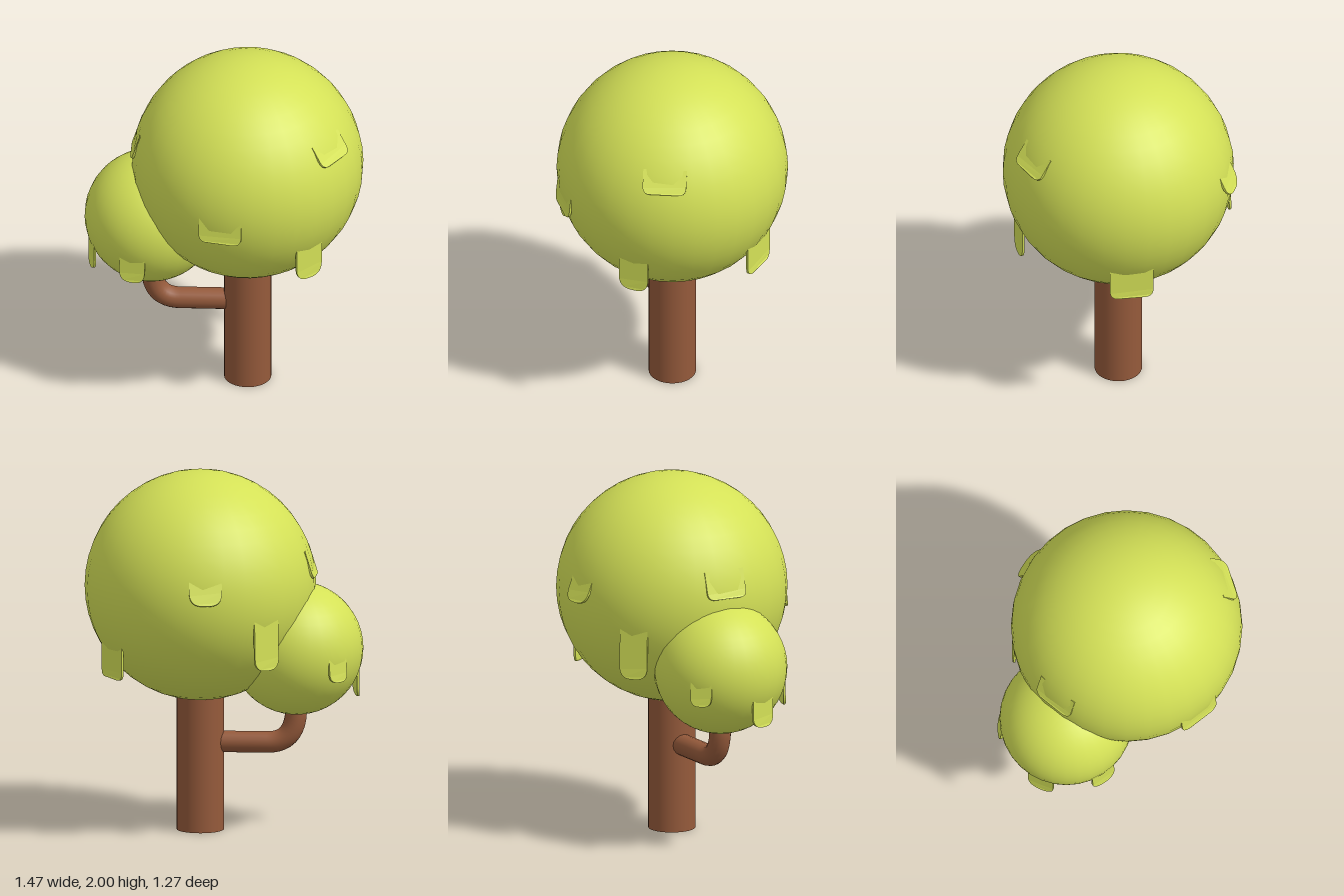
import * as THREE from 'three';

const leafMat = new THREE.MeshStandardMaterial({ color: 0xd4e157 });
const barkMat = new THREE.MeshStandardMaterial({ color: 0x955a3b });

function add(parent, name, geometry, material) {
  const mesh = new THREE.Mesh(geometry, material);
  mesh.name = name;
  parent.add(mesh);
  return mesh;
}

// Thin leaf flap with a rounded lower end; y = 0 is its bottom, z faces outward.
function flapGeometry(width, height, corner, radius) {
  const w = width / 2, t = 0.012;
  const s = new THREE.Shape();
  s.moveTo(-w, height);
  s.lineTo(-w, corner);
  s.quadraticCurveTo(-w, 0, -w + corner, 0);
  s.lineTo(w - corner, 0);
  s.quadraticCurveTo(w, 0, w, corner);
  s.lineTo(w, height);
  s.closePath();
  const g = new THREE.ExtrudeGeometry(s, { depth: t, bevelEnabled: false, curveSegments: 8 });
  // bend the flap gently around the ball
  const p = g.attributes.position;
  for (let i = 0; i < p.count; i++) {
    p.setZ(i, p.getZ(i) - t - p.getX(i) ** 2 / (2 * radius));
  }
  g.computeVertexNormals();
  return g;
}

// A ball of leaves with flaps: [dirX, dirZ, bottom radius, bottom y, width, height, tilt]
function foliage(name, center, radius, flaps) {
  const group = new THREE.Group();
  group.name = name;
  group.position.set(...center);
  add(group, name + 'Ball', new THREE.SphereGeometry(radius, 32, 24), leafMat);
  for (const [dx, dz, r, y, width, height, tilt] of flaps) {
    const a = Math.atan2(dx, dz);
    const corner = width > 0.2 ? 0.045 : width * 0.42;
    const flap = add(group, 'leafFlap', flapGeometry(width, height, corner, r), leafMat);
    flap.rotation.set(-tilt, a, 0, 'YXZ');
    flap.position.set(r * Math.sin(a), y - center[1], r * Math.cos(a));
  }
  return group;
}

export function createModel() {
  const tree = new THREE.Group();
  tree.name = 'tree';

  // trunk
  add(tree, 'trunk', new THREE.CylinderGeometry(0.13, 0.13, 0.9, 32), barkMat)
    .position.set(0.095, 0.45, 0);

  // side branch: runs out from the trunk, then bends up into the small crown
  const path = new THREE.CurvePath();
  const v = (x, y, z) => new THREE.Vector3(x, y, z);
  const a = v(0.04, 0.49, 0.03), b = v(-0.23, 0.49, 0.178);
  const corner = v(-0.35, 0.49, 0.244), c = v(-0.365, 0.64, 0.252), d = v(-0.368, 0.8, 0.254);
  path.add(new THREE.LineCurve3(a, b));
  path.add(new THREE.QuadraticBezierCurve3(b, corner, c));
  path.add(new THREE.LineCurve3(c, d));
  add(tree, 'branch', new THREE.TubeGeometry(path, 28, 0.06, 16), barkMat);

  // large crown
  tree.add(foliage('largeCrown', [0.095, 1.365, 0], 0.635, [
    [0.185, 0.61, 0.645, 1.22, 0.24, 0.2, 0.1],
    [0.53, 0.22, 0.575, 0.91, 0.17, 0.26, 0],
    [0.6, 0.05, 0.612, 1.6, 0.24, 0.14, 0.62],
    [0.27, -0.465, 0.56, 0.89, 0.24, 0.22, 0],
    [-0.38, -0.54, 0.67, 1.37, 0.18, 0.22, 0.4],
    [-0.585, -0.23, 0.63, 0.98, 0.16, 0.32, 0.03],
    [-0.54, 0.28, 0.645, 1.43, 0.24, 0.16, 0.3],
  ]));

  // small crown
  tree.add(foliage('smallCrown', [-0.368, 1.018, 0.254], 0.367, [
    [0.08, 0.345, 0.36, 0.79, 0.145, 0.2, 0.03],
    [-0.25, 0.23, 0.345, 0.74, 0.15, 0.2, 0],
    [-0.355, -0.12, 0.378, 0.88, 0.12, 0.18, 0.1],
  ]));

  return tree;
}
